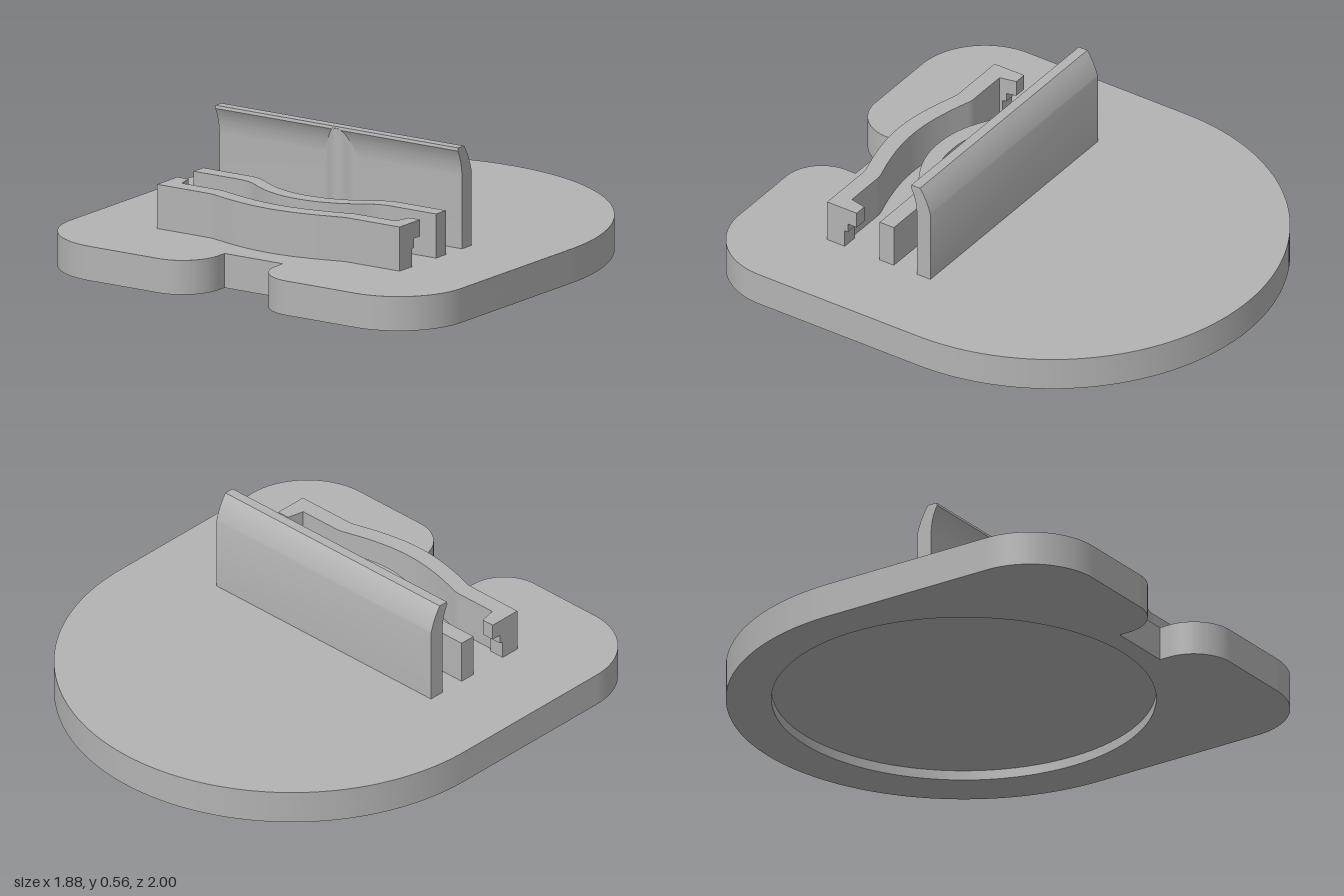
import * as THREE from 'three';
import { toCreasedNormals } from 'three/addons/utils/BufferGeometryUtils.js';

const plastic = new THREE.MeshStandardMaterial({ color: 0xb3b3b3 });
plastic.name = 'grey plastic';

const BASE_TOP = 0.14;
const HALF_WIDTH = 0.585;

function addMesh(group, name, geometry) {
  const mesh = new THREE.Mesh(toCreasedNormals(geometry, 0.5), plastic);
  mesh.name = name;
  group.add(mesh);
}

// Extrudes a plan drawn as (x, -z) upward between two heights.
function plan(shape, y0, y1) {
  return new THREE.ExtrudeGeometry(shape, { depth: y1 - y0, bevelEnabled: false, curveSegments: 48 })
    .rotateX(-Math.PI / 2)
    .translate(0, y0, 0);
}

// Extrudes a side profile drawn as (-z, y) along x.
function profile(shape, x0, x1) {
  return new THREE.ExtrudeGeometry(shape, { depth: x1 - x0, bevelEnabled: false, curveSegments: 16 })
    .rotateY(Math.PI / 2)
    .translate(x0, 0, 0);
}

// Round-backed footprint with a notch in the front edge.
function baseShape() {
  const P = Math.PI;
  const s = new THREE.Shape();
  s.moveTo(0.94, 0.06);
  s.absarc(0, 0.06, 0.94, 0, P);
  s.lineTo(-0.94, -0.7);
  s.absarc(-0.64, -0.7, 0.3, P, 1.5 * P);
  s.lineTo(-0.31, -1);
  s.absarc(-0.31, -0.83, 0.17, 1.5 * P, 2 * P);
  s.lineTo(-0.14, -0.785);
  s.lineTo(0.14, -0.785);
  s.lineTo(0.14, -0.83);
  s.absarc(0.31, -0.83, 0.17, P, 1.5 * P);
  s.lineTo(0.64, -1);
  s.absarc(0.64, -0.7, 0.3, 1.5 * P, 2 * P);
  s.closePath();
  return s;
}

// Mirrors half of a bow [x, bulge] and offsets it into a strip of even depth.
function bowedStrip(half, z, depth) {
  const full = [
    ...half.map(([x, b]) => new THREE.Vector2(-x, b)),
    ...half.slice(0, -1).reverse().map(([x, b]) => new THREE.Vector2(x, b)),
  ];
  const bow = new THREE.SplineCurve(full).getPoints(60);
  const line = [new THREE.Vector2(-HALF_WIDTH, 0), ...bow, new THREE.Vector2(HALF_WIDTH, 0)];
  const back = line.map((p) => new THREE.Vector2(p.x, -(z + p.y)));
  const front = line.map((p) => new THREE.Vector2(p.x, -(z + depth + p.y))).reverse();
  return new THREE.Shape([...back, ...front]);
}

export function createModel() {
  const group = new THREE.Group();
  group.name = 'stand';

  // Base: solid slab above a ring that leaves a shallow round recess underneath
  addMesh(group, 'baseSlab', plan(baseShape(), 0.04, BASE_TOP));
  const ring = baseShape();
  ring.holes.push(new THREE.Path().absarc(0, 0.06, 0.76, 0, Math.PI * 2, true));
  addMesh(group, 'baseRecessRing', plan(ring, 0, 0.04));

  // Tall back wall with a rounded rear shoulder and a forward lip
  const wall = new THREE.Shape();
  wall.moveTo(-0.187, BASE_TOP);
  wall.lineTo(-0.187, 0.44);
  wall.quadraticCurveTo(-0.19, 0.5, -0.216, 0.545);
  wall.lineTo(-0.213, 0.557);
  wall.lineTo(-0.172, 0.557);
  wall.quadraticCurveTo(-0.138, 0.51, -0.122, 0.45);
  wall.lineTo(-0.122, BASE_TOP);
  wall.closePath();
  addMesh(group, 'backWall', profile(wall, -HALF_WIDTH, HALF_WIDTH));

  // Softly flared rib on the front of the back wall
  const rib = new THREE.Shape();
  rib.moveTo(-0.09, -0.186);
  rib.bezierCurveTo(-0.045, -0.188, -0.04, -0.219, 0, -0.219);
  rib.bezierCurveTo(0.04, -0.219, 0.045, -0.188, 0.09, -0.186);
  rib.lineTo(0.09, -0.18);
  rib.lineTo(-0.09, -0.18);
  rib.closePath();
  addMesh(group, 'backWallRib', plan(rib, BASE_TOP, 0.55));

  // Middle and front bowed walls
  const deepBow = [[0.38, 0], [0.34, 0.002], [0.29, 0.018], [0.23, 0.055], [0.16, 0.09], [0.08, 0.113], [0, 0.12]];
  const shallowBow = [[0.36, 0], [0.32, 0.001], [0.28, 0.012], [0.2, 0.034], [0.1, 0.053], [0, 0.06]];
  addMesh(group, 'middleWall', plan(bowedStrip(deepBow, 0.297, 0.068), BASE_TOP, 0.32));
  addMesh(group, 'frontWall', plan(bowedStrip(shallowBow, 0.545, 0.071), BASE_TOP, 0.32));

  // Stepped hooks at both ends of the front wall, tapered on the inner side
  const steps = [[0.547, 0.14], [0.532, 0.14], [0.532, 0.214], [0.517, 0.214],
    [0.517, 0.252], [0.475, 0.252], [0.475, 0.32], [0.547, 0.32]];
  const hook = new THREE.Shape(steps.map(([z, y]) => new THREE.Vector2(-z, y)));
  for (const side of [-1, 1]) {
    const x0 = side > 0 ? 0.515 : -HALF_WIDTH;
    const geometry = profile(hook, x0, x0 + 0.07);
    const pos = geometry.attributes.position;
    for (let i = 0; i < pos.count; i++) {
      if (Math.abs(pos.getX(i)) < 0.55) {
        pos.setX(i, side * (0.515 + (0.547 - pos.getZ(i)) * 0.22));
      }
    }
    addMesh(group, side > 0 ? 'leftHook' : 'rightHook', geometry);
  }

  return group;
}
